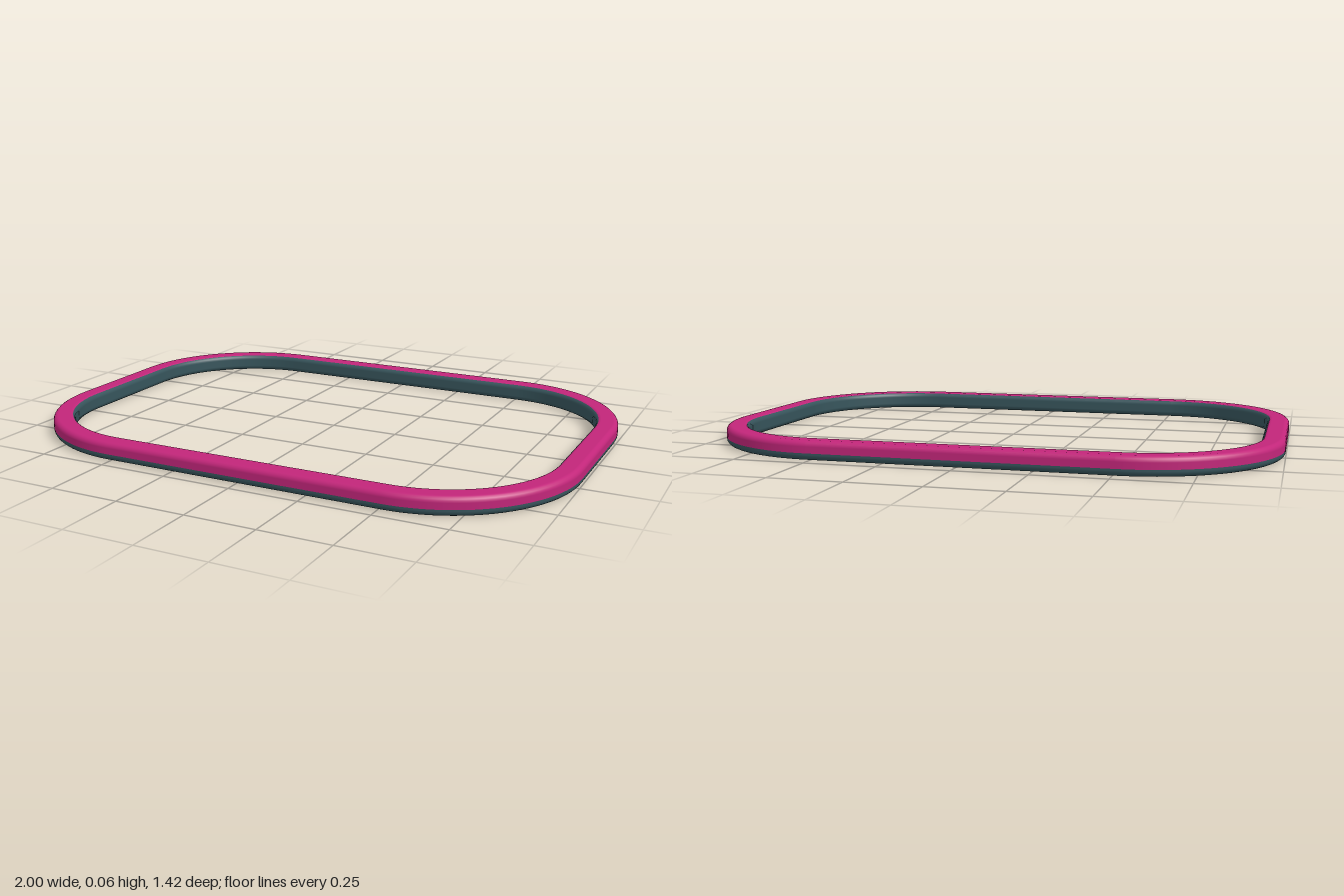
import * as THREE from 'three';

const HEIGHT = 0.065, OUTER = 0.49, INNER = 0.41, EDGE = 0.019;
const CORNER_X = 0.51, CORNER_Z = 0.22, STEPS = 24;
const SPLIT_Y = 0.024; // colour seam on the outer wall

// Plan outline: four rounded corners joined by straight runs.
const stations = [];
for (let c = 0; c < 4; c++) {
  const sx = c === 0 || c === 3 ? 1 : -1, sz = c < 2 ? 1 : -1;
  for (let i = 0; i <= STEPS; i++) {
    const a = (c + i / STEPS) * Math.PI / 2;
    stations.push({ x: sx * CORNER_X, z: sz * CORNER_Z, cos: Math.cos(a), sin: Math.sin(a) });
  }
}
stations.push(stations[0]);

// Rounded edge of the cross-section between two angles in degrees.
function edge(from, to, n = 5) {
  return Array.from({ length: n + 1 }, (_, i) => {
    const deg = from + (to - from) * i / n, a = deg * Math.PI / 180;
    const mid = (from + to) / 2;
    const r = mid < 90 || mid > 270 ? OUTER - EDGE : INNER + EDGE;
    const y = mid < 180 ? HEIGHT - EDGE : EDGE;
    return { r: r + EDGE * Math.cos(a), y: y + EDGE * Math.sin(a), nr: Math.cos(a), ny: Math.sin(a) };
  });
}

// Sweeps a cross-section strip around the outline with smooth normals.
function sweep(name, section, color) {
  const pos = [], nor = [], idx = [], n = section.length;
  for (const s of stations) {
    for (const p of section) {
      pos.push(s.x + p.r * s.cos, p.y, s.z + p.r * s.sin);
      nor.push(p.nr * s.cos, p.ny, p.nr * s.sin);
    }
  }
  for (let j = 0; j < stations.length - 1; j++) {
    for (let i = 0; i < n - 1; i++) {
      const a = j * n + i, b = a + n;
      idx.push(a, a + 1, b, a + 1, b + 1, b);
    }
  }
  const geo = new THREE.BufferGeometry();
  geo.setAttribute('position', new THREE.Float32BufferAttribute(pos, 3));
  geo.setAttribute('normal', new THREE.Float32BufferAttribute(nor, 3));
  geo.setIndex(idx);
  const mesh = new THREE.Mesh(geo, new THREE.MeshStandardMaterial({ color }));
  mesh.name = name;
  return mesh;
}

export function createModel() {
  const group = new THREE.Group();
  group.name = 'roundedFrame';
  const seam = { r: OUTER, y: SPLIT_Y, nr: 1, ny: 0 };
  // Coloured top and outer wall
  group.add(sweep('topBand', [seam, ...edge(0, 90), ...edge(90, 120, 3)], 0xc2267a));
  // Dark inner wall and underside
  group.add(sweep('innerAndBase', [...edge(120, 180, 4), ...edge(180, 270), ...edge(270, 360), seam], 0x37555c));
  return group;
}
